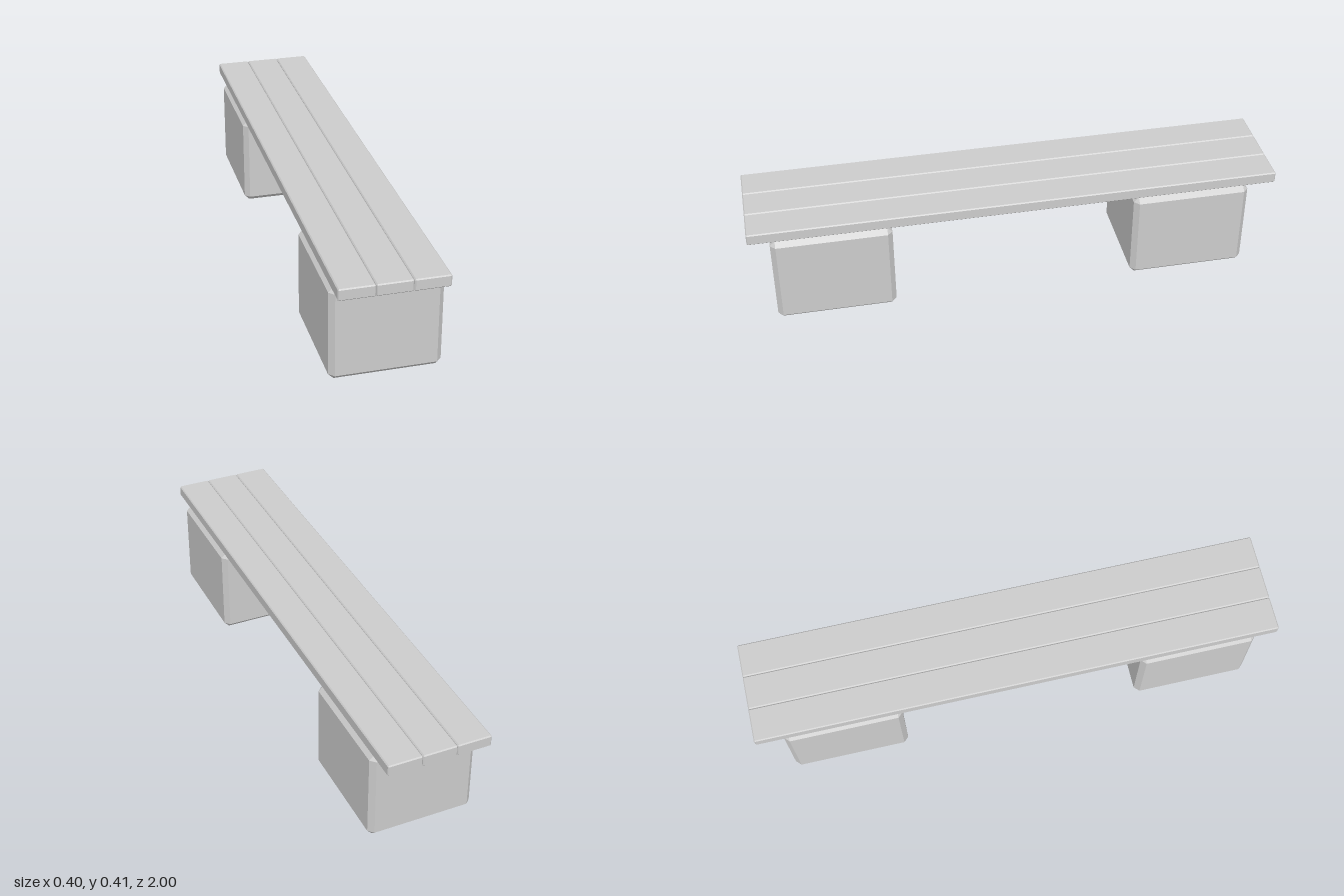
import * as THREE from 'three';
import { ConvexGeometry } from 'three/addons/geometries/ConvexGeometry.js';

const material = new THREE.MeshStandardMaterial({ color: 0xcccccc, flatShading: true });

// Box with every edge cut at 45 degrees: each corner becomes a small triangle.
function chamferedBox(width, height, depth, cut) {
  const half = [width / 2, height / 2, depth / 2];
  const points = [];
  for (const sx of [-1, 1]) for (const sy of [-1, 1]) for (const sz of [-1, 1]) {
    const sign = [sx, sy, sz];
    for (let full = 0; full < 3; full++) {
      const p = half.map((h, i) => sign[i] * (i === full ? h : h - cut));
      points.push(new THREE.Vector3(...p));
    }
  }
  return new ConvexGeometry(points);
}

function addPart(group, name, geometry, x, y, z) {
  const mesh = new THREE.Mesh(geometry, material);
  mesh.name = name;
  mesh.position.set(x, y, z);
  group.add(mesh);
}

export function createModel() {
  const bench = new THREE.Group();
  bench.name = 'bench';

  // Two heavy support blocks
  const block = chamferedBox(0.4, 0.357, 0.449, 0.019);
  addPart(bench, 'frontBlock', block, 0, 0.1785, 0.695);
  addPart(bench, 'backBlock', block, 0, 0.1785, -0.672);

  // Three long seat planks, just clear of the blocks
  const plank = chamferedBox(0.128, 0.044, 2, 0.004);
  ['rightPlank', 'middlePlank', 'leftPlank'].forEach((name, i) => {
    addPart(bench, name, plank, -0.001 + (i - 1) * 0.129, 0.383, 0);
  });

  return bench;
}
